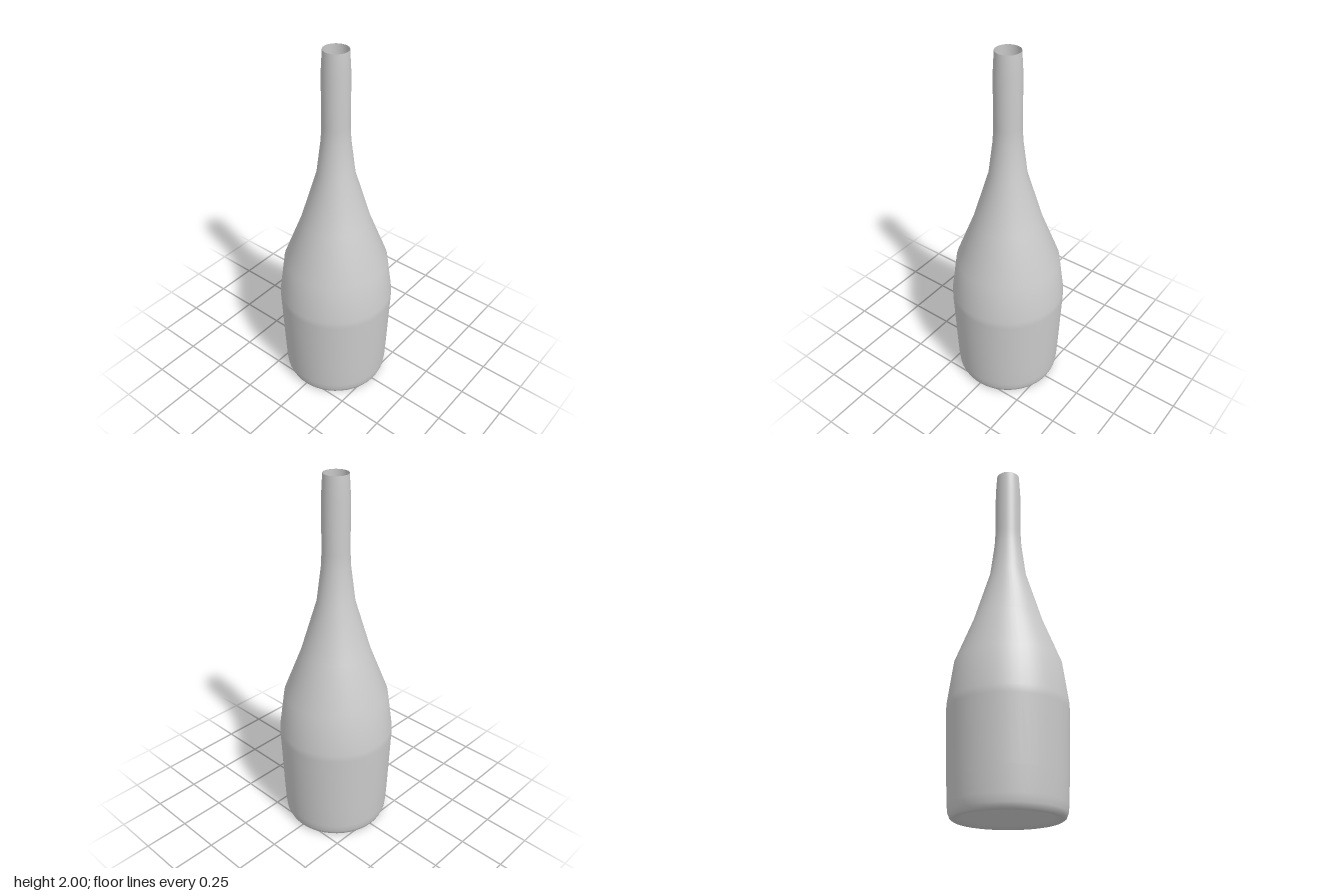
import * as THREE from 'three';

export function createModel() {
  const group = new THREE.Group();
  group.name = 'bottle';
  // Thin glass wall, open at the mouth
  const glass = new THREE.MeshStandardMaterial({ color: 0xcccccc, side: THREE.DoubleSide });

  const lathe = (name, profile) => {
    const points = profile.map(([r, y]) => new THREE.Vector2(r, y));
    const mesh = new THREE.Mesh(new THREE.LatheGeometry(points, 48), glass);
    mesh.name = name;
    group.add(mesh);
  };

  // One continuous wall [radius, height], so the shading stays smooth throughout
  lathe('bottleWall', [
    // hollow underside and rounded foot
    [0, 0.2], [0.1, 0.125], [0.19, 0.05], [0.225, 0.015], [0.25, 0.002], [0.27, 0],
    [0.282, 0.008], [0.291, 0.03], [0.296, 0.07],
    // body
    [0.302, 0.2], [0.315, 0.54], [0.314, 0.58],
    // shoulder
    [0.284, 0.8], [0.187, 1.05], [0.1, 1.34],
    // neck and mouth
    [0.076, 1.53], [0.072, 1.61], [0.072, 1.88], [0.065, 2],
  ]);

  return group;
}
